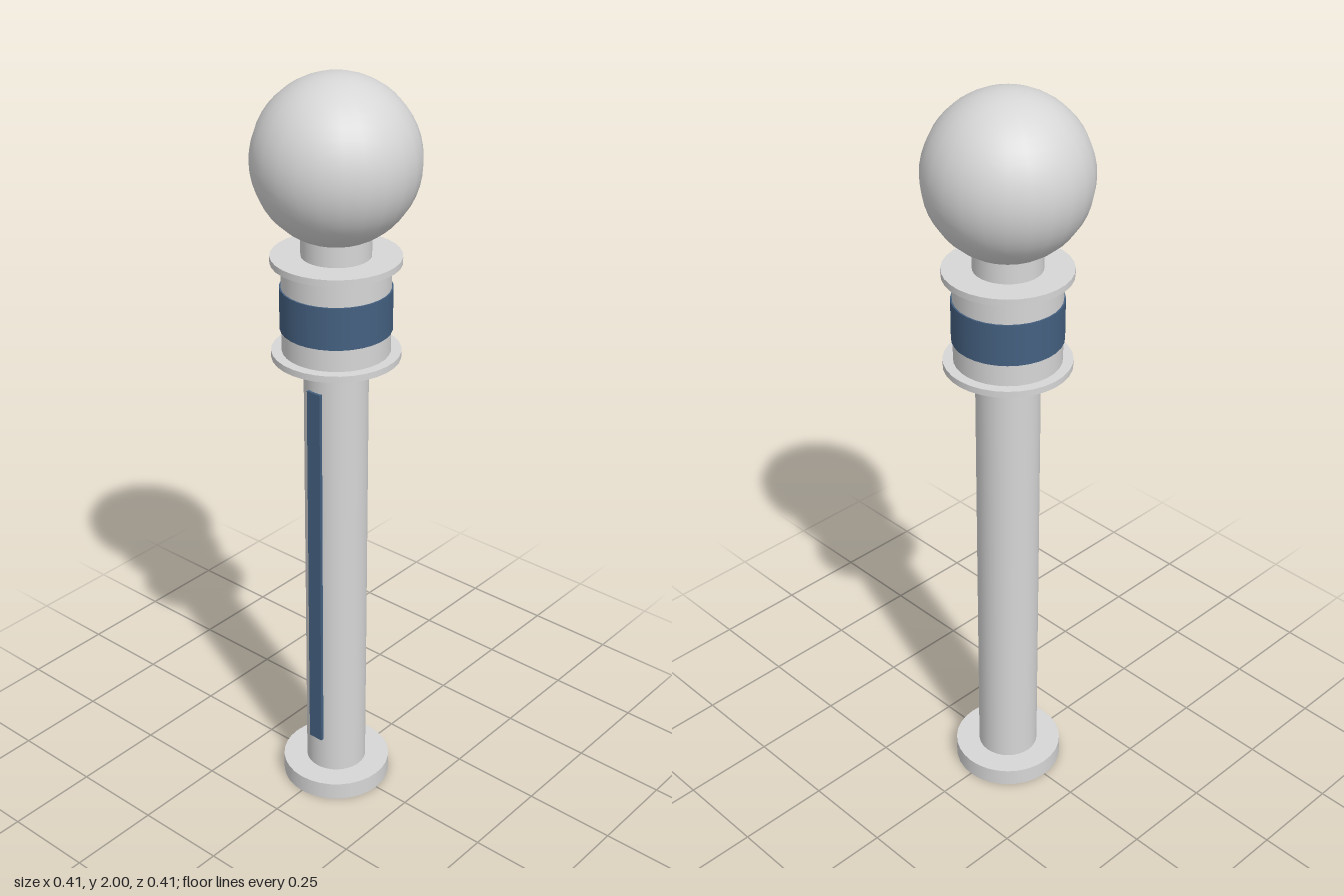
import * as THREE from 'three';

export function createModel() {
  const model = new THREE.Group();
  const grey = new THREE.MeshStandardMaterial({ color: 0xd6d6d6 });
  grey.name = 'light grey';
  const blue = new THREE.MeshStandardMaterial({ color: 0x446080 });
  blue.name = 'slate blue';

  const add = (name, geometry, material, y, z = 0) => {
    const mesh = new THREE.Mesh(geometry, material);
    mesh.name = name;
    mesh.position.set(0, y, z);
    model.add(mesh);
  };
  // Upright cylinder between two heights
  const disc = (name, radius, bottom, top, material = grey) =>
    add(name, new THREE.CylinderGeometry(radius, radius, top - bottom, 32), material, (bottom + top) / 2);

  // Foot and post
  disc('base', 0.147, 0, 0.05);
  disc('post', 0.082, 0.05, 1.29);

  // Collar: drum between two flanges, with a painted band
  disc('lowerFlange', 0.162, 1.29, 1.307);
  disc('drum', 0.136, 1.307, 1.539);
  disc('upperFlange', 0.162, 1.539, 1.556);
  const band = new THREE.CylinderGeometry(0.14, 0.14, 0.11, 32);
  add('band', band, blue, 1.42);

  // Neck and globe
  disc('neck', 0.087, 1.556, 1.625);
  add('globe', new THREE.SphereGeometry(0.206, 24, 24), grey, 1.794);

  // Thin stripe down the front of the post
  add('frontStripe', new THREE.BoxGeometry(0.042, 1.065, 0.009), blue, 0.6825, 0.0835);

  return model;
}
